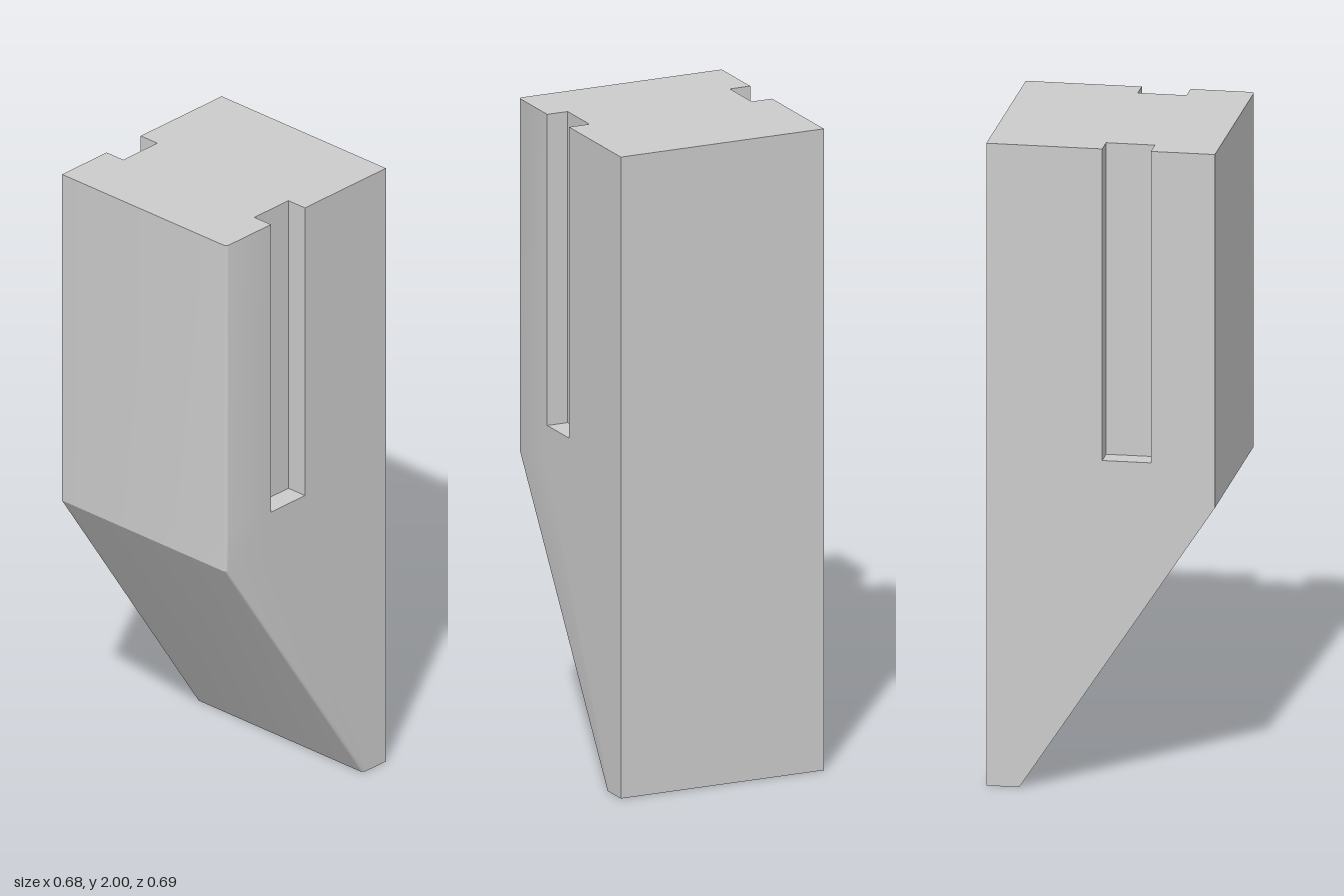
import * as THREE from 'three';
import { toCreasedNormals } from 'three/addons/utils/BufferGeometryUtils.js';

const W = 0.338, D = 0.347;          // half width, half depth
const SLOT = { x: 0.27, z0: 0.005, z1: 0.153, y: 1.03 };
const R = 0.013, STEPS = 6;          // rounded front left edge

// Horizontal section, counter-clockwise from above, as points (x, -z).
function section(front, slotX) {
  const k = (front + D) / (2 * D);
  const squeeze = z => -D + (z + D) * k;   // keeps the side points in order on the taper
  const a = squeeze(SLOT.z0), b = squeeze(SLOT.z1);
  const pts = [[-W, front]];
  for (let i = 0; i <= STEPS; i++) {
    const t = (i / STEPS) * Math.PI / 2;
    pts.push([W - R + R * Math.sin(t), front - R + R * Math.cos(t)]);
  }
  pts.push([W, b], [slotX, b], [slotX, a], [W, a]);
  pts.push([W, -D], [-W, -D]);
  pts.push([-W, a], [-slotX, a], [-slotX, b], [-W, b]);
  return pts.map(([x, z]) => new THREE.Vector2(x, -z));
}

function loft(levels) {
  const rings = levels.map(([y, front, slotX]) =>
    section(front, slotX).map(p => new THREE.Vector3(p.x, y, -p.y)));
  const pos = [];
  const tri = (a, b, c) => {
    const area = b.clone().sub(a).cross(c.clone().sub(a)).length();
    if (area > 1e-9) pos.push(...a.toArray(), ...b.toArray(), ...c.toArray());
  };
  const n = rings[0].length;
  for (let r = 0; r < rings.length - 1; r++) {
    const lo = rings[r], hi = rings[r + 1];
    for (let i = 0; i < n; i++) {
      const j = (i + 1) % n;
      tri(lo[i], lo[j], hi[j]);
      tri(lo[i], hi[j], hi[i]);
    }
  }
  // End faces
  const cap = (ring, up) => {
    const flat = ring.map(p => new THREE.Vector2(p.x, -p.z));
    for (const [a, b, c] of THREE.ShapeUtils.triangulateShape(flat, [])) {
      if (up) tri(ring[a], ring[b], ring[c]);
      else tri(ring[a], ring[c], ring[b]);
    }
  };
  // The foot is a plain outline: leave out the closed slot's points
  cap(rings[0].filter((p, i) => i <= STEPS + 1 || i === STEPS + 6 || i === STEPS + 7), false);
  cap(rings[rings.length - 1], true);

  const g = new THREE.BufferGeometry();
  g.setAttribute('position', new THREE.Float32BufferAttribute(pos, 3));
  return toCreasedNormals(g, 0.45);
}

export function createModel() {
  const group = new THREE.Group();
  group.name = 'slottedWedgeBlock';
  // Levels: height, front z, slot floor x (W = slot closed)
  const body = new THREE.Mesh(
    loft([
      [0, -0.247, W],
      [0.9, D, W],
      [SLOT.y, D, W],
      [SLOT.y, D, SLOT.x],
      [2, D, SLOT.x],
    ]),
    new THREE.MeshStandardMaterial({ color: 0xcccccc })
  );
  body.name = 'taperedBlock';
  group.add(body);
  return group;
}
